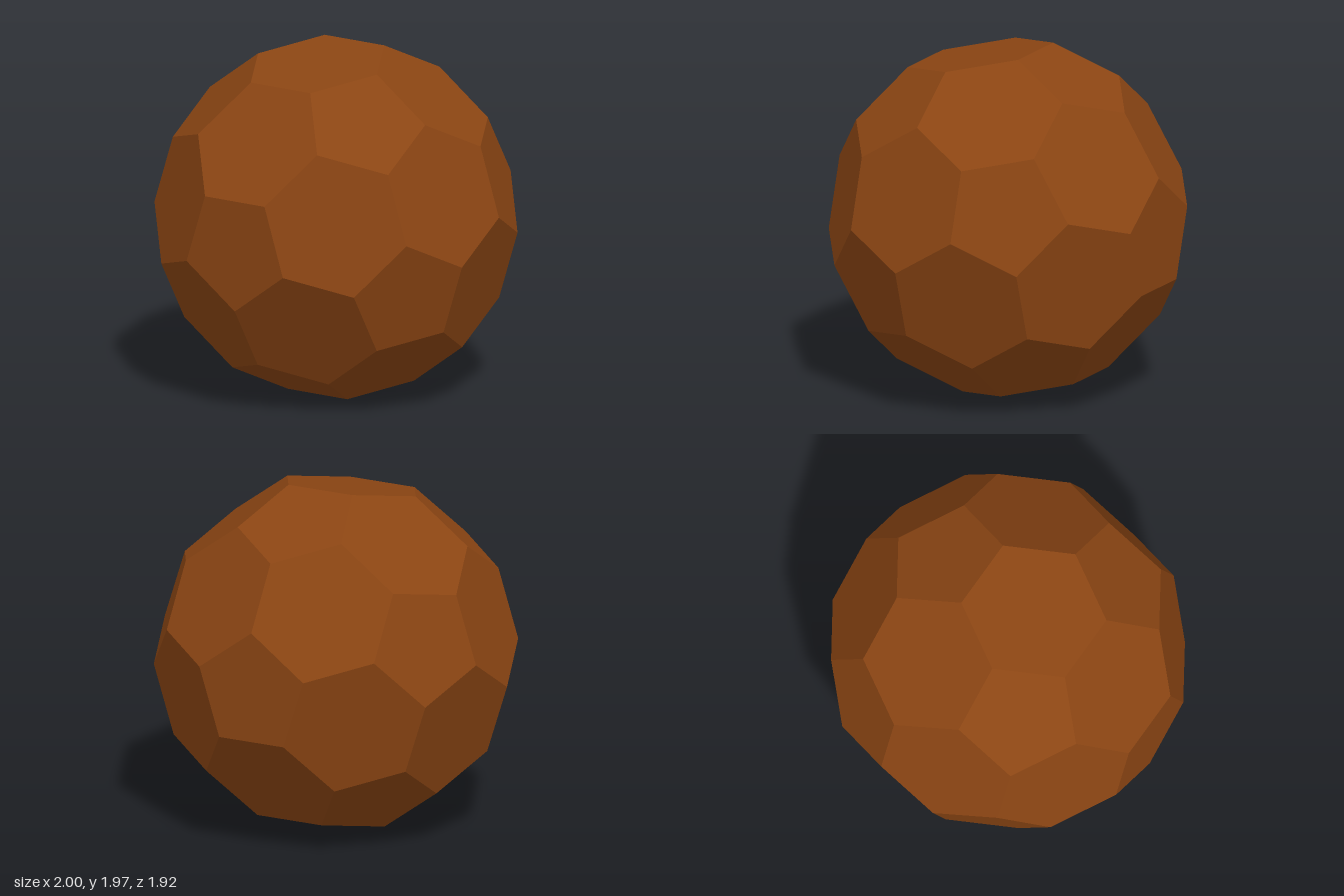
import * as THREE from 'three';

const RADIUS = 1.1756; // circumradius of the icosahedron whose corners are cut off

// Twelve icosahedron corners: one pole faces front, the front ring points down
function icosahedronCorners() {
  const corners = [new THREE.Vector3(0, 0, RADIUS)];
  for (let k = 0; k < 5; k++) {
    const a = -Math.PI / 2 + (k * 2 * Math.PI) / 5;
    corners.push(new THREE.Vector3(2 * Math.cos(a), 2 * Math.sin(a), 1).multiplyScalar(RADIUS / Math.sqrt(5)));
  }
  return corners.concat(corners.map((c) => c.clone().negate()));
}

// Orders a panel's points counter-clockwise seen from outside and fans it into triangles
function panelTriangles(points) {
  const normal = points.reduce((s, p) => s.add(p), new THREE.Vector3()).normalize();
  const u = points[0].clone().projectOnPlane(normal).normalize();
  const v = normal.clone().cross(u);
  const angle = (p) => Math.atan2(p.dot(v), p.dot(u));
  const ring = [...points].sort((a, b) => angle(a) - angle(b));
  const out = [];
  for (let i = 1; i < ring.length - 1; i++) out.push(ring[0], ring[i], ring[i + 1]);
  return out;
}

function panelMesh(name, panels, material) {
  const geometry = new THREE.BufferGeometry().setFromPoints(panels.flatMap(panelTriangles));
  geometry.computeVertexNormals();
  const mesh = new THREE.Mesh(geometry, material);
  mesh.name = name;
  return mesh;
}

export function createModel() {
  const corners = icosahedronCorners();
  const near = (a, b) => a !== b && a.distanceTo(b) < RADIUS * 1.2;
  const cut = (a, b) => a.clone().lerp(b, 1 / 3);

  // A pentagon where each corner is cut off
  const pentagons = corners.map((c) => corners.filter((n) => near(c, n)).map((n) => cut(c, n)));

  // A hexagon left over from each triangular face
  const hexagons = [];
  corners.forEach((a, i) => corners.forEach((b, j) => corners.forEach((c, k) => {
    if (i < j && j < k && near(a, b) && near(b, c) && near(a, c)) {
      hexagons.push([cut(a, b), cut(b, a), cut(b, c), cut(c, b), cut(c, a), cut(a, c)]);
    }
  })));

  const material = new THREE.MeshStandardMaterial({ color: 0x8b4513, flatShading: true });
  const ball = new THREE.Group();
  ball.name = 'ball';
  ball.add(panelMesh('pentagonPanels', pentagons, material), panelMesh('hexagonPanels', hexagons, material));

  // Stand the ball on the ground
  ball.position.y = -new THREE.Box3().setFromObject(ball).min.y;
  const model = new THREE.Group();
  model.name = 'facetedBall';
  model.add(ball);
  return model;
}
